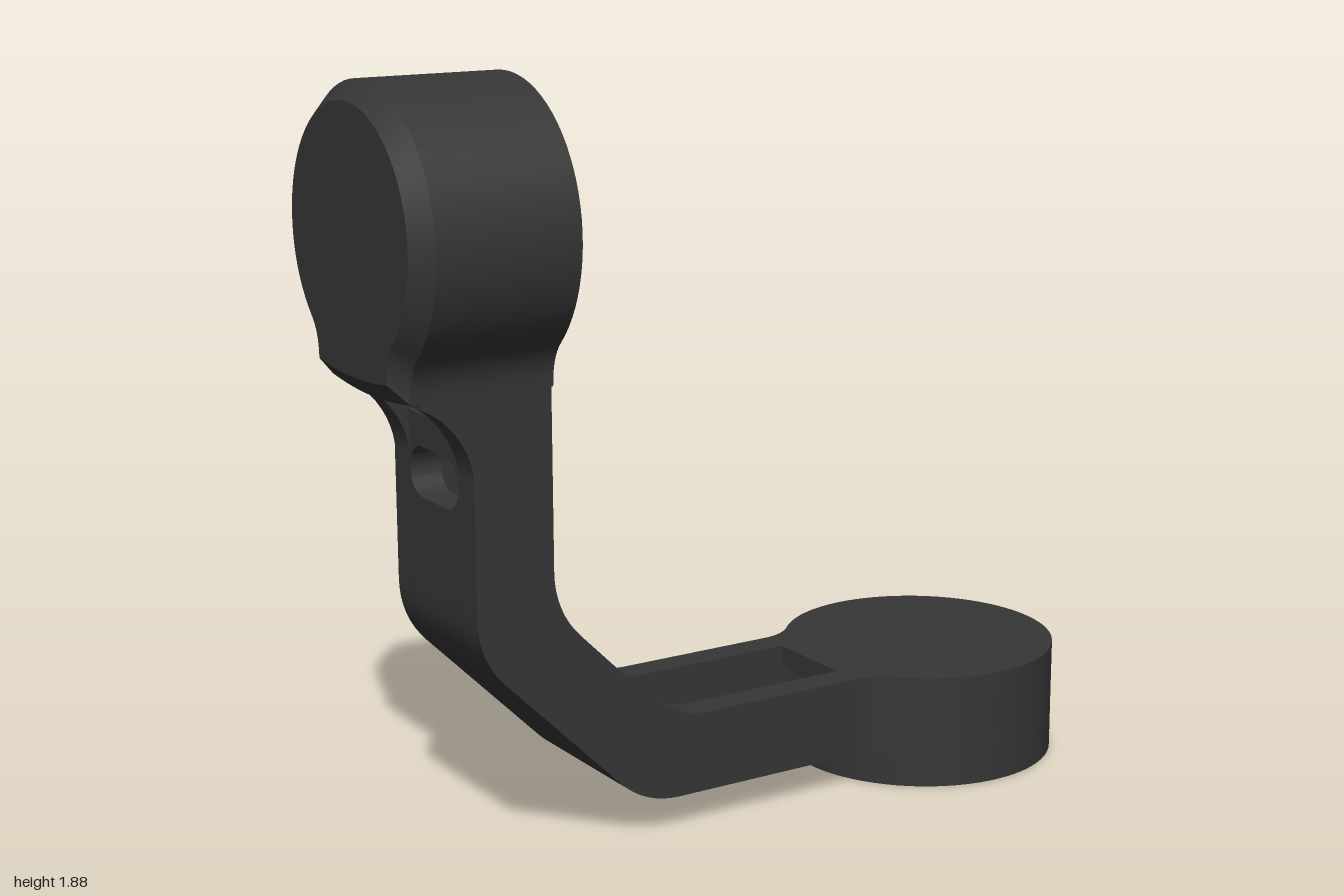
import * as THREE from 'three';
import { toCreasedNormals } from 'three/addons/utils/BufferGeometryUtils.js';

const V = (x, y) => new THREE.Vector2(x, y);
const NECK = 0.36;              // distance from a cup's centre to the end of its neck
const WALL = [0.125, 0.205];    // inner and outer half width of the arm

// Right half of a keyhole outline: circle that blends into a straight neck
function halfKeyhole(r, w, angle) {
  const pts = [], n = 28;
  for (let i = 0; i <= n; i++) {
    const a = Math.PI / 2 - (i / n) * (Math.PI / 2 + angle);
    pts.push(V(r * Math.cos(a), r * Math.sin(a)));
  }
  const p = pts[n];
  const ctrl = V(w, p.y - (p.x - w) / Math.tan(angle));
  const blend = new THREE.QuadraticBezierCurve(p, ctrl, V(w, -NECK));
  return pts.concat(blend.getPoints(8).slice(1));
}
const mirror = (pts) => pts.map((p) => V(-p.x, p.y)).reverse();

// Full outline running from the left neck over the top to the right neck
function keyhole(r, w, angle) {
  const h = halfKeyhole(r, w, angle);
  return mirror(h).concat(h.slice(1));
}

function extrude(shape, depth, z = 0, curveSegments = 16) {
  const g = new THREE.ExtrudeGeometry(shape, { depth, bevelEnabled: false, curveSegments });
  return g.translate(0, 0, z);
}

// Inner and outer faces of the bent arm are offsets of one path
function bentPath(t, top, end) {
  const f = 0.1, d = f * Math.SQRT1_2;
  const a = V(-0.8 + t, 0.54 + 0.414 * t), b = V(-0.35 + 0.414 * t, 0.09 + t);
  const bend = (p, c, q) => new THREE.QuadraticBezierCurve(p, c, q).getPoints(8);
  return [V(a.x, top),
    ...bend(V(a.x, a.y + f), a, V(a.x + d, a.y - d)),
    ...bend(V(b.x - d, b.y + d), b, V(b.x + f, b.y)),
    V(end, b.y)];
}

export function createModel() {
  const group = new THREE.Group();
  group.name = 'gimbalArm';
  const charcoal = new THREE.MeshStandardMaterial({ color: 0x363636 });
  charcoal.name = 'charcoal';
  const add = (name, geo, parent = group) => {
    const m = new THREE.Mesh(toCreasedNormals(geo, 0.5), charcoal);
    m.name = name;
    parent.add(m);
    return m;
  };
  const cupGroup = (name, x, y, ax, ay, az) => {
    const g = new THREE.Group();
    g.name = name;
    g.applyMatrix4(new THREE.Matrix4().makeBasis(ax, ay, az).setPosition(x, y, 0));
    group.add(g);
    return g;
  };
  const X = new THREE.Vector3(1, 0, 0), Y = new THREE.Vector3(0, 1, 0), Z = new THREE.Vector3(0, 0, 1);

  // Open keyhole wall and closed keyhole plate shared by both cups
  const openWall = (r) => new THREE.Shape(
    keyhole(r, WALL[1], 0.8).concat(keyhole(0.29, WALL[0], 0.91).reverse()));
  const closedPlate = (r, bulge) => {
    const s = new THREE.Shape(keyhole(r, WALL[1], 0.8));
    s.quadraticCurveTo(0, -NECK - bulge, -WALL[1], -NECK);
    return s;
  };

  // Upper motor cup, opening towards +x
  const upper = cupGroup('upperMotorCup', 0, 1.53, Z.clone().negate(), Y, X);
  add('upperCupWall', extrude(openWall(0.35), 0.365, -0.955), upper);
  add('upperCupFloor', extrude(closedPlate(0.349, 0.03), 0.03, -0.955), upper);
  const chamfer = extrude(closedPlate(0.35, 0.03), 0.045);
  const pos = chamfer.attributes.position;
  for (let i = 0; i < pos.count; i++) {
    if (pos.getZ(i) < 0.001) pos.setXY(i, pos.getX(i) * 0.87, pos.getY(i) * 0.87);
  }
  chamfer.translate(0, 0, -1);
  add('upperCupChamferedCap', chamfer, upper);

  // Lower motor cup, opening downwards
  const lower = cupGroup('lowerMotorCup', 0.64, 0, Z, X, Y);
  const ring = new THREE.Shape().absarc(0, 0, 0.36, 0, Math.PI * 2);
  ring.holes.push(new THREE.Path().absarc(0, 0, 0.29, 0, Math.PI * 2, true));
  add('lowerCupRim', extrude(ring, 0.09, 0, 36), lower);
  add('lowerCupWall', extrude(openWall(0.36), 0.15, 0.09), lower);
  add('lowerCupTop', extrude(closedPlate(0.36, 0), 0.055, 0.24), lower);

  // Side walls of the arm, with the concave fillet behind the upper cup
  const fillet = new THREE.CubicBezierCurve(
    V(-0.93, 1.155), V(-0.87, 1.13), V(-0.81, 1.06), V(-0.8, 0.98)).getPoints(10);
  const sideShape = new THREE.Shape([V(-0.93, 1.17), ...fillet,
    ...bentPath(0, 0.97, 0.28), ...bentPath(0.205, 1.17, 0.28).reverse()]);
  const width = WALL[1] - WALL[0];
  add('leftArmWall', extrude(sideShape, width, WALL[0]));
  add('rightArmWall', extrude(sideShape, width, -WALL[1]));

  // Channel floor between the walls
  const floorShape = new THREE.Shape([
    ...bentPath(0, 0.87, 0.33), ...bentPath(0.08, 0.87, 0.33).reverse()]);
  add('channelFloor', extrude(floorShape, 0.25, -0.125));

  // Back plate with the cable slot, and the deep cross bar above it
  const slotFrame = cupGroup('cableSlot', 0, 0, Z.clone().negate(), Y, X);
  const plate = new THREE.Shape([V(-0.13, 0.865), V(0.13, 0.865), V(0.13, 1.079), V(-0.13, 1.079)]);
  const slot = new THREE.Path();
  slot.absarc(0.062, 0.938, 0.062, -Math.PI / 2, Math.PI / 2);
  slot.absarc(-0.062, 0.938, 0.062, Math.PI / 2, Math.PI * 1.5);
  slot.closePath();
  plate.holes.push(slot);
  add('slotPlate', extrude(plate, 0.08, -0.8), slotFrame);
  const bar = new THREE.Shape();
  bar.moveTo(-0.125, 1.08);
  bar.lineTo(-0.125, 0.938);
  bar.absarc(-0.062, 0.938, 0.062, Math.PI, Math.PI / 2, true);
  bar.absarc(0.062, 0.938, 0.062, Math.PI / 2, 0, true);
  bar.lineTo(0.125, 0.938);
  bar.lineTo(0.125, 1.08);
  add('crossBar', extrude(bar, 0.198, -0.799), slotFrame);

  return group;
}
